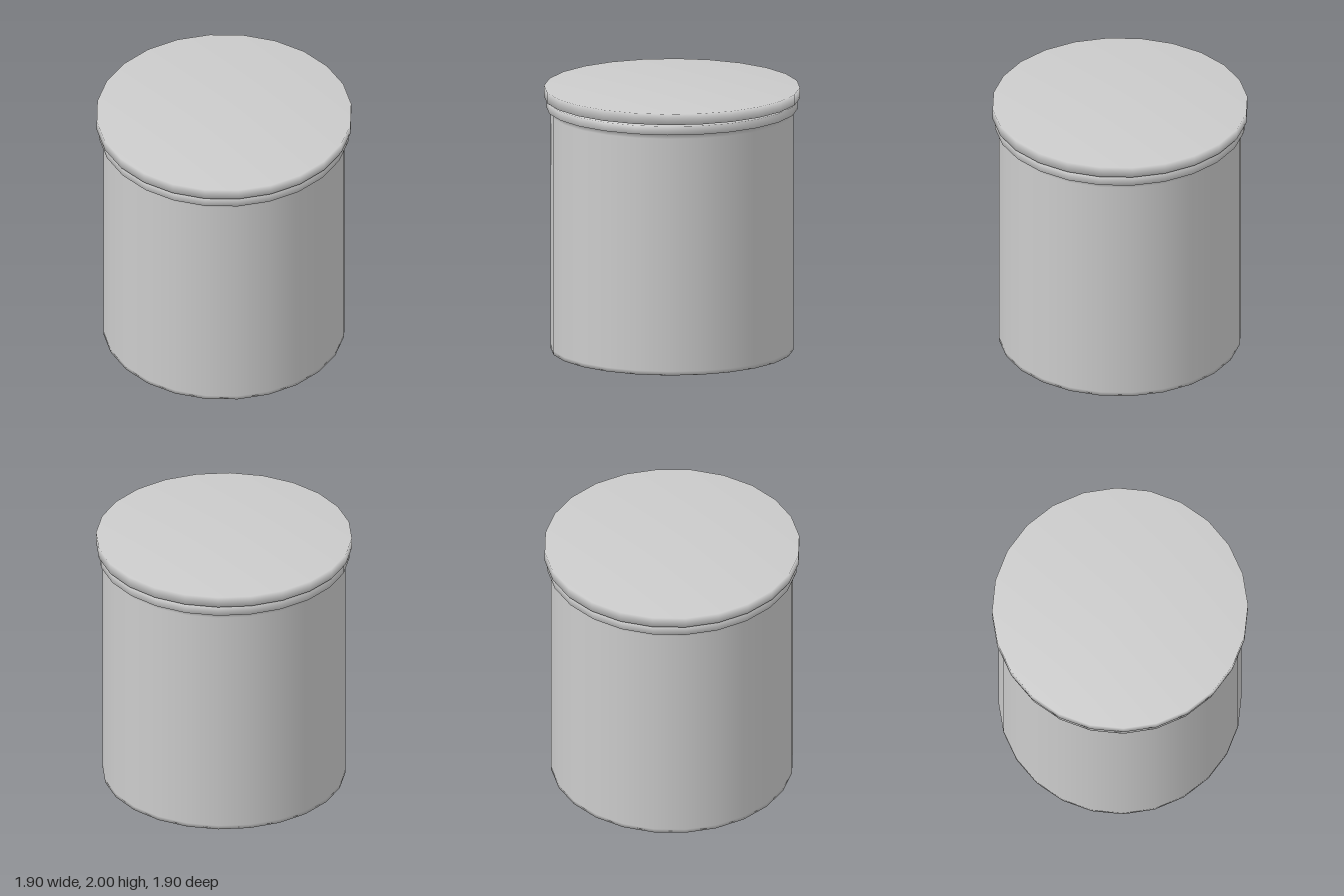
import * as THREE from 'three';

const SIDES = 24;

// Turned part: profile of [radius, height] from bottom to top, smooth shaded.
function turned(name, profile, material) {
  const points = profile.map(([r, y]) => new THREE.Vector2(r, y));
  const mesh = new THREE.Mesh(new THREE.LatheGeometry(points, SIDES), material);
  mesh.name = name;
  return mesh;
}

export function createModel() {
  const group = new THREE.Group();
  group.name = 'canister';
  const material = new THREE.MeshStandardMaterial({ color: 0xcccccc, side: THREE.DoubleSide });

  // Round container with closed bottom and a raised band under the lid
  group.add(turned('body', [
    [0, 0], [0.903, 0],
    [0.903, 0.03], [0.903, 1.8],
    [0.903, 1.837], [0.935, 1.837],
    [0.935, 1.903], [0.903, 1.903],
    [0.903, 1.911],
  ], material));

  // Flat lid that overhangs the band
  group.add(turned('lid', [
    [0.903, 1.911], [0.903, 1.918],
    [0.952, 1.918], [0.952, 2],
    [0, 2],
  ], material));

  return group;
}
